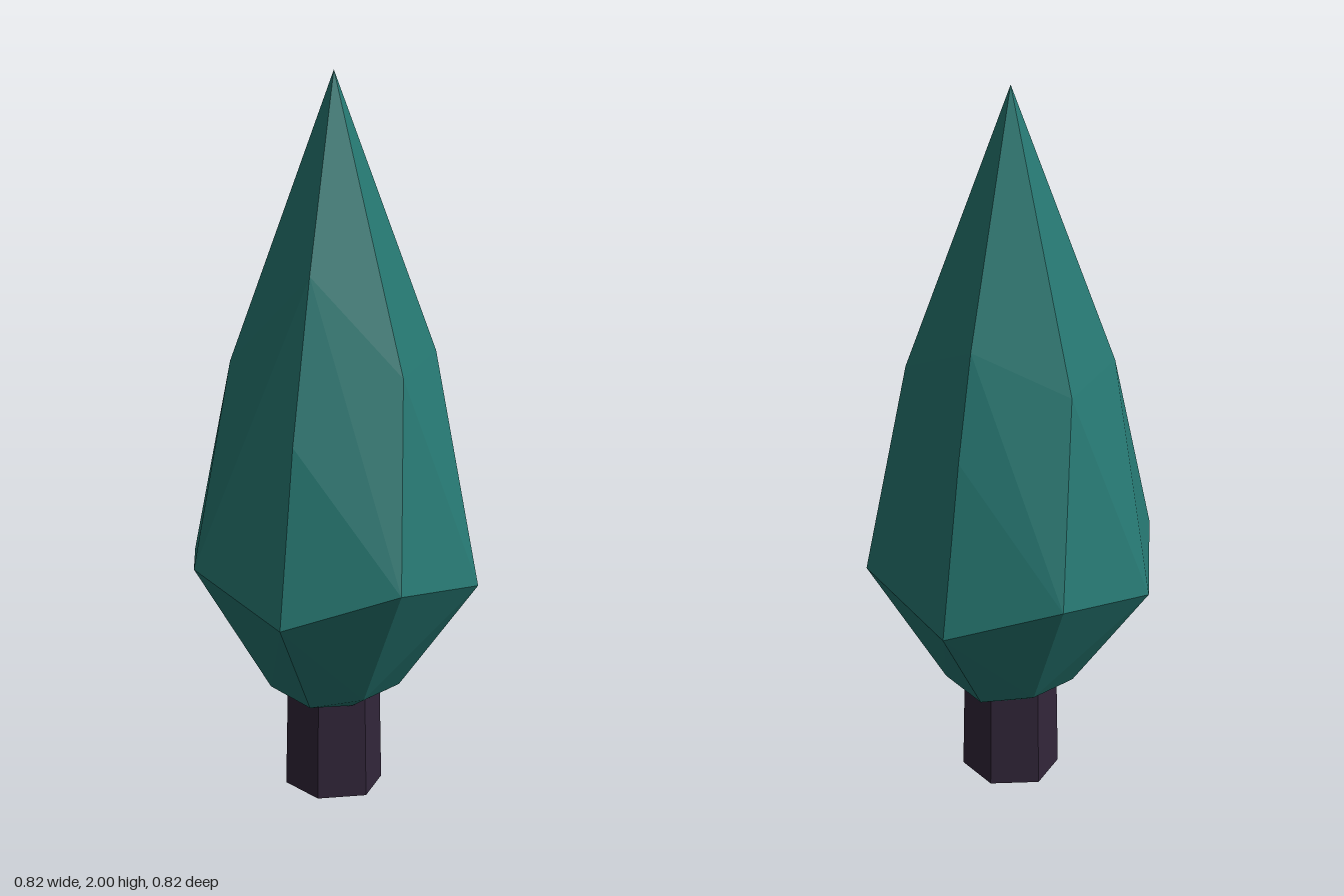
import * as THREE from 'three';
import { ConvexGeometry } from 'three/addons/geometries/ConvexGeometry.js';

const needleGreen = new THREE.MeshStandardMaterial({ color: 0x267872, flatShading: true });
needleGreen.name = 'needleGreen';
const barkPurple = new THREE.MeshStandardMaterial({ color: 0x32263a, flatShading: true });
barkPurple.name = 'barkPurple';

// Points on a ring; heights cycle around it, starting at +x
function ring(radius, heights, count = 8) {
  return Array.from({ length: count }, (_, i) => {
    const a = (i / count) * Math.PI * 2;
    return new THREE.Vector3(radius * Math.cos(a), heights[i % heights.length], radius * Math.sin(a));
  });
}

export function createModel() {
  const tree = new THREE.Group();
  tree.name = 'tree';

  // Crown: faceted teardrop, octagonal at its widest and six-sided towards the tip
  const points = [
    new THREE.Vector3(0, 2, 0),
    ...ring(0.41, [0.64, 0.70, 0.61, 0.70]),
    ...ring(0.19, [0.32, 0.32, 0.30, 0.32]),
    ...ring(0.12, [0.275]),
    new THREE.Vector3(0, 1.5, 0.182),
    new THREE.Vector3(0, 1.36, -0.235),
  ];
  for (const side of [-1, 1]) {
    points.push(new THREE.Vector3(0, 1.08, 0.31 * side));
    for (const x of [-0.24, 0.24]) points.push(new THREE.Vector3(x, 1.24, 0.139 * side));
  }
  const crown = new THREE.Mesh(new ConvexGeometry(points), needleGreen);
  crown.name = 'crown';
  tree.add(crown);

  // Trunk: slightly tapered hexagonal post with corners to the front and back
  const trunk = new THREE.Mesh(new THREE.CylinderGeometry(0.124, 0.13, 0.3, 6), barkPurple);
  trunk.name = 'trunk';
  trunk.scale.x = 1.05;
  trunk.position.y = 0.15;
  tree.add(trunk);

  return tree;
}
